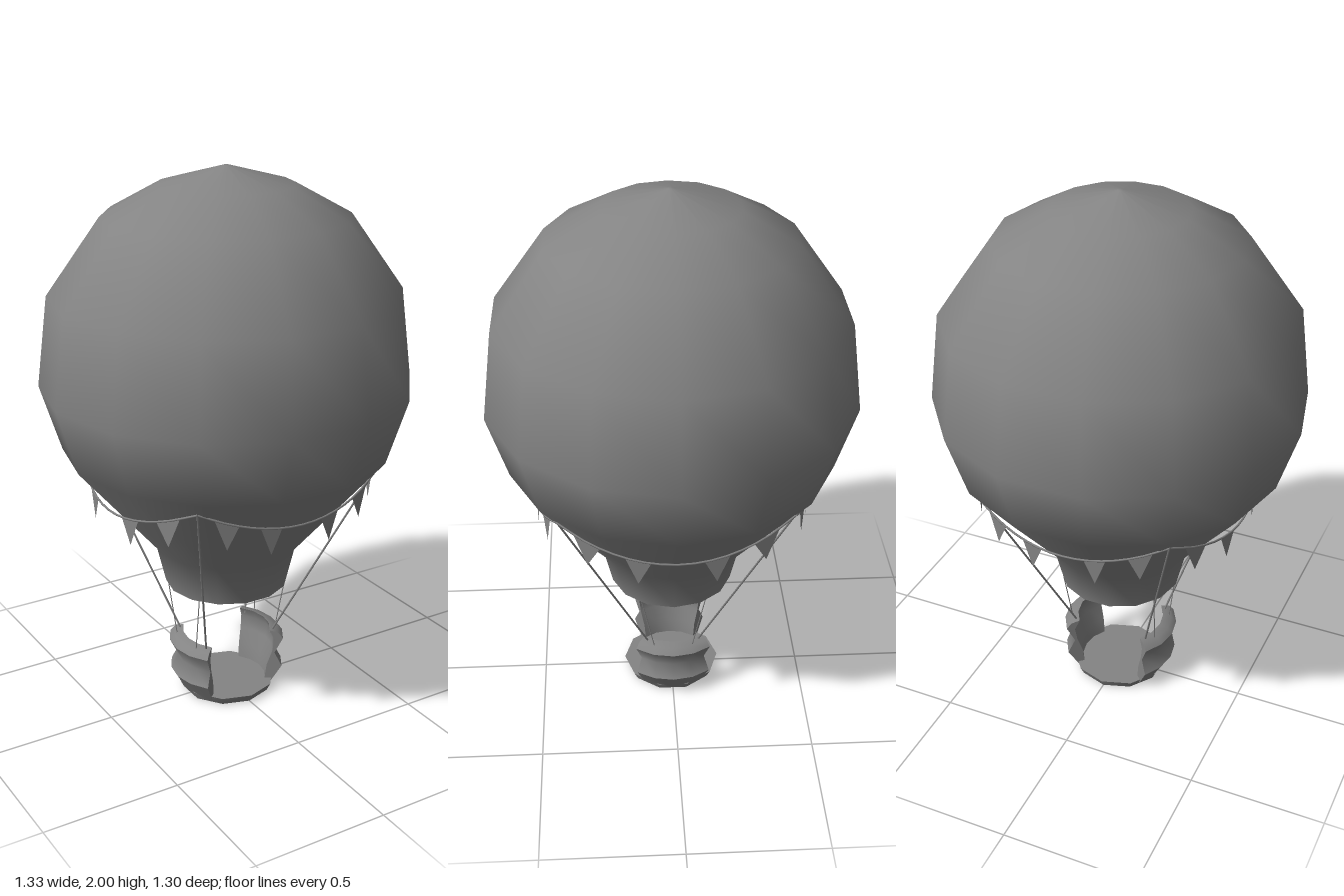
import * as THREE from 'three';
import { toCreasedNormals } from 'three/addons/utils/BufferGeometryUtils.js';

const V = (x, y, z) => new THREE.Vector3(x, y, z);

export function createModel() {
  const root = new THREE.Group();
  const color = 0x848484;
  const solid = new THREE.MeshStandardMaterial({ color });
  const thin = new THREE.MeshStandardMaterial({ color, side: THREE.DoubleSide });

  const add = (parent, geometry, name, material = solid) => {
    const mesh = new THREE.Mesh(geometry, material);
    mesh.name = name;
    parent.add(mesh);
    return mesh;
  };
  const group = (name) => {
    const g = new THREE.Group();
    g.name = name;
    root.add(g);
    return g;
  };
  const toPoints = (list) => list.map(([r, y]) => new THREE.Vector2(r, y));

  // Envelope: open-mouthed 14-sided balloon with smooth shading and a rounded crown
  const envelope = [
    [0.228, 0.455], [0.265, 0.61], [0.592, 0.995], [0.667, 1.235],
    [0.626, 1.56], [0.435, 1.83], [0.24, 1.937], [0.01, 2], [0, 2],
  ];
  add(root, new THREE.LatheGeometry(toPoints(envelope), 14, Math.PI / 2), 'envelope', thin);

  // Basket floor: ten-sided disc, tapering downwards
  const floor = new THREE.CylinderGeometry(0.183, 0.168, 0.03, 10).toNonIndexed();
  floor.translate(0, 0.018, 0);
  add(root, toCreasedNormals(floor, 0.6), 'basketFloor');

  // Basket walls: two bulging arcs, open at front and back
  const section = toPoints([
    [0.168, 0.012], [0.215, 0.09], [0.187, 0.145], [0.219, 0.21], [0.2, 0.232],
    [0.167, 0.24], [0.186, 0.2], [0.178, 0.15], [0.157, 0.09], [0.147, 0.012],
  ]);
  const half = 0.7;
  for (const side of [1, -1]) {
    const wall = group(side > 0 ? 'leftBasketWall' : 'rightBasketWall');
    const arc = new THREE.LatheGeometry([...section, section[0]], 4, Math.PI / 2 - half, 2 * half);
    add(wall, toCreasedNormals(arc, 1.0), 'wallArc', thin);
    for (const end of [half, -half]) {
      add(wall, new THREE.ShapeGeometry(new THREE.Shape(section)), 'wallEnd', thin).rotation.y = end;
    }
    if (side < 0) wall.rotation.y = Math.PI;
  }

  // Ropes: four long ones from the garland corners, four short ones from the mouth
  const ropes = group('ropes');
  const rope = (a, b, radius, name) =>
    add(ropes, new THREE.TubeGeometry(new THREE.LineCurve3(a, b), 1, radius, 5), name);
  for (const sx of [1, -1]) {
    for (const sz of [1, -1]) {
      rope(V(0.36 * sx, 0.945, 0.41 * sz), V(0.142 * sx, 0.22, 0.09 * sz), 0.0038, 'longRope');
      rope(V(0.188 * sx, 0.46, 0.12 * sz), V(0.175 * sx, 0.22, 0.07 * sz), 0.002, 'shortRope');
    }
  }

  // Garland: four sagging swags around the envelope, each with four pennants
  const garland = group('garland');
  const corner = Math.atan2(0.41, 0.36);
  const swags = [
    [corner, Math.PI - corner, 0.085],
    [Math.PI - corner, Math.PI + corner, 0.105],
    [Math.PI + corner, 2 * Math.PI - corner, 0.085],
    [-corner, corner, 0.105],
  ];
  for (const [from, to, sag] of swags) {
    const pointAt = (t) => {
      const drop = sag * 4 * t * (1 - t);
      const r = 0.548 - drop * 0.62;
      const angle = from + (to - from) * t;
      return V(r * Math.cos(angle), 0.945 - drop, r * Math.sin(angle));
    };
    const path = new THREE.CatmullRomCurve3(Array.from({ length: 9 }, (_, i) => pointAt(i / 8)));
    add(garland, new THREE.TubeGeometry(path, 16, 0.004, 5), 'garlandRope');

    for (const t of [0.125, 0.335, 0.665, 0.875]) {
      const a = pointAt(t - 0.055);
      const b = pointAt(t + 0.055);
      const tip = a.clone().add(b).multiplyScalar(0.5);
      tip.y -= 0.098;
      const pennant = new THREE.BufferGeometry().setFromPoints([b, a, tip]);
      pennant.computeVertexNormals();
      add(garland, pennant, 'pennant', thin);
    }
  }

  return root;
}
